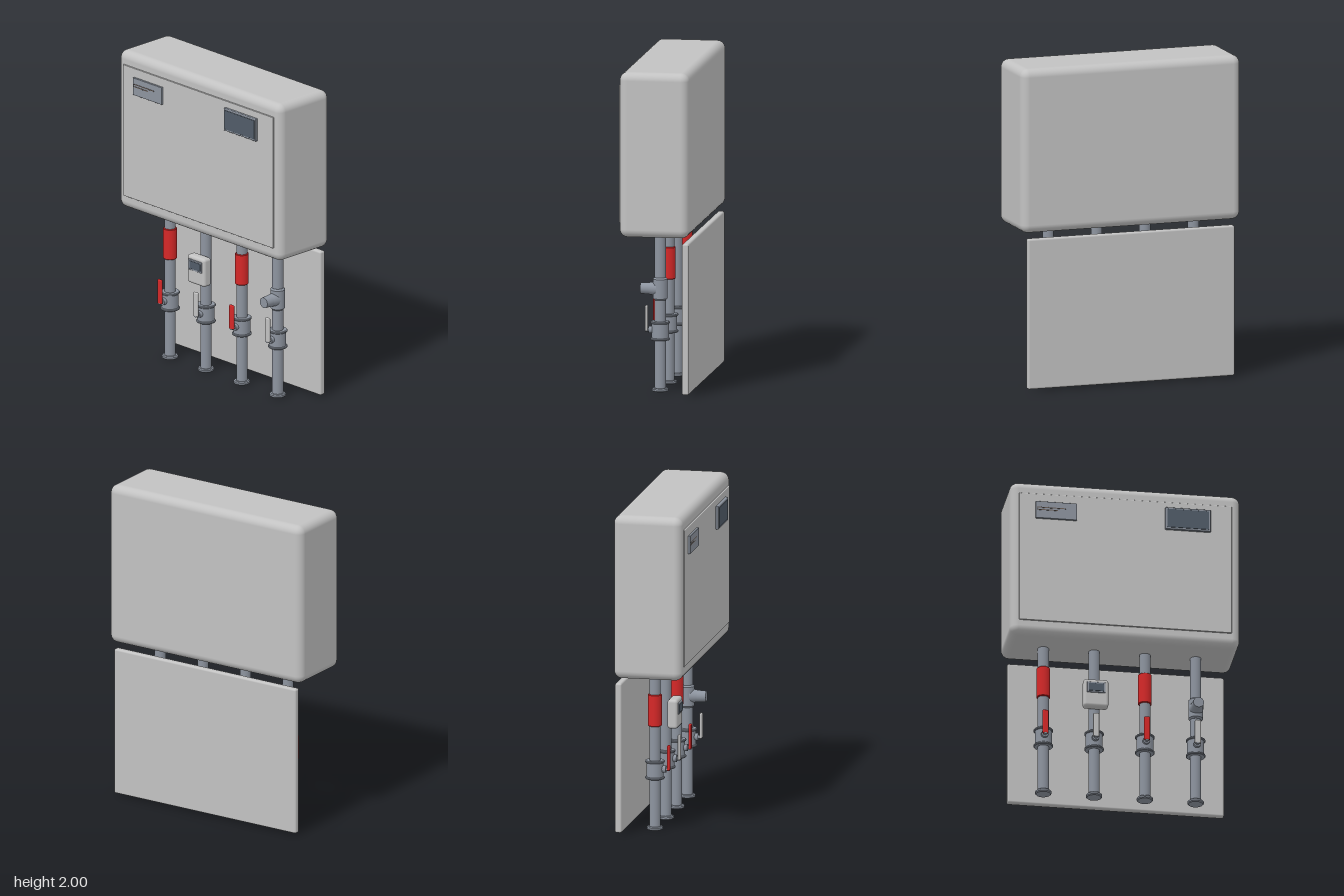
import * as THREE from 'three';
import { RoundedBoxGeometry } from 'three/addons/geometries/RoundedBoxGeometry.js';

const paint = (name, color) => {
  const m = new THREE.MeshStandardMaterial({ color });
  m.name = name;
  return m;
};

export function createModel() {
  const shell = paint('light grey casing', 0xc2c2c2);
  const steel = paint('blue grey steel', 0x8d949f);
  const red = paint('red', 0xd62828);
  const glass = paint('dark screen', 0x515c68);
  const line = paint('brown print', 0x6b5f58);

  const model = new THREE.Group();
  model.name = 'wallUnit';

  const add = (parent, name, geo, mat, x, y, z) => {
    const mesh = new THREE.Mesh(geo, mat);
    mesh.name = name;
    mesh.position.set(x, y, z);
    parent.add(mesh);
    return mesh;
  };
  // Rounded box given by its limits on each axis
  const block = (parent, name, mat, [x0, x1], [y0, y1], [z0, z1], r) =>
    add(parent, name, new RoundedBoxGeometry(x1 - x0, y1 - y0, z1 - z0, 4, r), mat,
      (x0 + x1) / 2, (y0 + y1) / 2, (z0 + z1) / 2);
  // Upright turned part from y0 to y1 with a slightly softened rim
  const turned = (parent, name, mat, r, y0, y1, soft = 0.004) => {
    const pts = [[0, y0], [r - soft, y0], [r, y0 + soft], [r, y1 - soft], [r - soft, y1], [0, y1]];
    // Doubled points keep the rims crisp
    const profile = pts.flatMap(([a, b], i) =>
      i > 0 && i < 5 ? [new THREE.Vector2(a, b), new THREE.Vector2(a, b)] : [new THREE.Vector2(a, b)]);
    return add(parent, name, new THREE.LatheGeometry(profile, 32), mat, 0, 0, 0);
  };

  // Cabinet, door and wall panel
  block(model, 'cabinet', shell, [-0.71, 0.71], [0.98, 2], [-0.23, 0.2], 0.05);
  block(model, 'door', shell, [-0.657, 0.657], [1.065, 1.918], [0.18, 0.208], 0.004);
  block(model, 'backPanel', shell, [-0.67, 0.67], [0.01, 0.945], [-0.226, -0.184], 0.012);

  // Label plate with printed lines
  block(model, 'labelPlate', steel, [-0.557, -0.303], [1.75, 1.862], [0.207, 0.222], 0.003);
  block(model, 'labelLineUpper', line, [-0.55, -0.37], [1.818, 1.824], [0.219, 0.2235], 0.001);
  block(model, 'labelLineLower', line, [-0.55, -0.42], [1.803, 1.809], [0.219, 0.2235], 0.001);

  // Display
  block(model, 'displayFrame', steel, [0.243, 0.525], [1.73, 1.877], [0.207, 0.226], 0.005);
  block(model, 'displayScreen', glass, [0.255, 0.513], [1.742, 1.865], [0.221, 0.229], 0.002);

  // Four pipes, each with a ball valve
  const pipeZ = -0.017;
  [-0.474, -0.16, 0.154, 0.468].forEach((x, i) => {
    const hot = i % 2 === 0;
    const pipe = new THREE.Group();
    pipe.name = 'pipeAssembly' + (i + 1);
    pipe.position.set(x, 0, pipeZ);
    model.add(pipe);

    turned(pipe, 'pipe', steel, 0.034, 0.005, 1.0);
    turned(pipe, 'footFlange', steel, 0.05, 0, 0.022, 0.006);
    turned(pipe, 'valveBody', steel, 0.052, 0.325, 0.43);
    turned(pipe, 'valveLowerRim', steel, 0.06, 0.318, 0.332);
    turned(pipe, 'valveUpperRim', steel, 0.06, 0.42, 0.434);

    // Valve stem and lever
    const boss = add(pipe, 'valveBoss', new THREE.CylinderGeometry(0.022, 0.022, 0.03, 20), steel, 0, 0.38, 0.055);
    const stem = add(pipe, 'valveStem', new THREE.CylinderGeometry(0.012, 0.012, 0.05, 16), steel, 0, 0.38, 0.068);
    boss.rotation.x = stem.rotation.x = Math.PI / 2;
    block(pipe, 'valveLever', hot ? red : shell, [-0.019, 0.019], [0.372, 0.53], [0.077, 0.094], 0.008);

    if (hot) turned(pipe, 'redSleeve', red, 0.042, 0.648, 0.847);
  });

  // Meter clipped to the second pipe
  block(model, 'meterBody', shell, [-0.237, -0.083], [0.578, 0.76], [0.008, 0.072], 0.018);
  block(model, 'meterFrame', steel, [-0.218, -0.102], [0.667, 0.737], [0.066, 0.077], 0.004);
  block(model, 'meterScreen', glass, [-0.207, -0.113], [0.677, 0.727], [0.073, 0.08], 0.002);

  // Strainer with forward branch on the fourth pipe
  const strainer = new THREE.Group();
  strainer.name = 'strainer';
  strainer.position.set(0.468, 0, pipeZ);
  model.add(strainer);
  turned(strainer, 'strainerBody', steel, 0.045, 0.565, 0.705, 0.01);
  const neck = add(strainer, 'strainerNeck', new THREE.CylinderGeometry(0.036, 0.044, 0.05, 28), steel, 0, 0.635, 0.045);
  const cap = add(strainer, 'strainerCap', new THREE.CylinderGeometry(0.033, 0.037, 0.06, 28), steel, 0, 0.635, 0.09);
  neck.rotation.x = cap.rotation.x = Math.PI / 2;

  return model;
}
